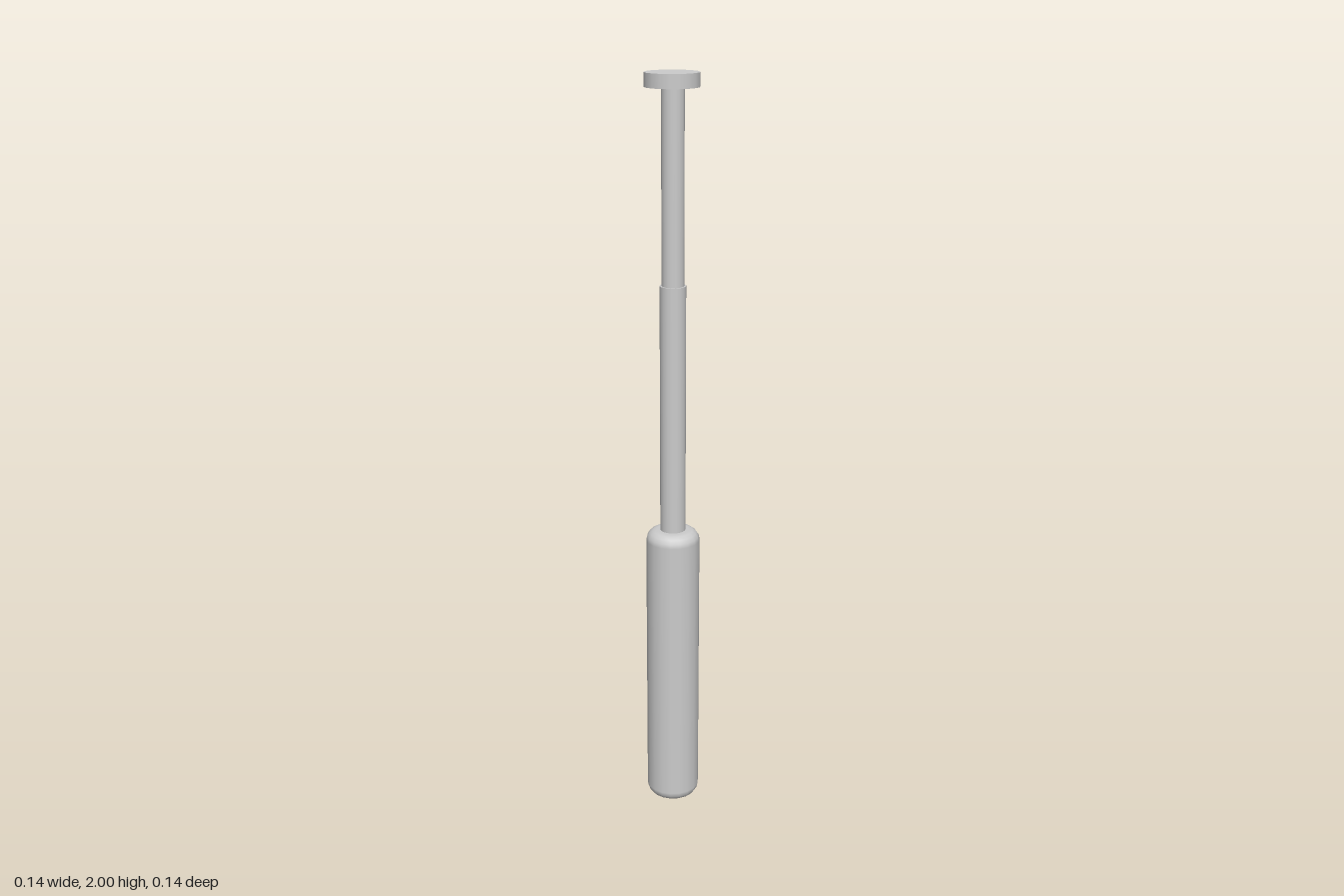
import * as THREE from 'three';

const SIDES = 18;

export function createModel() {
  const group = new THREE.Group();
  const material = new THREE.MeshStandardMaterial({ color: 0xcccccc });

  const add = (name, geometry, x = 0, y = 0) => {
    const mesh = new THREE.Mesh(geometry, material);
    mesh.name = name;
    mesh.position.set(x, y, 0);
    group.add(mesh);
  };

  // Upright cylinder between two heights, with a corner on the x axis
  const rod = (name, radius, bottom, top, x = 0) => {
    const geometry = new THREE.CylinderGeometry(radius, radius, top - bottom, SIDES, 1, false, Math.PI / 2);
    add(name, geometry, x, (bottom + top) / 2);
  };

  // Handle with rounded rims and flat ends
  const radius = 0.072, height = 0.81, fillet = 0.03, steps = 4;
  const profile = [new THREE.Vector2(0, 0)];
  for (const [centreY, start] of [[fillet, -Math.PI / 2], [height - fillet, 0]]) {
    for (let i = 0; i <= steps; i++) {
      const a = start + (i / steps) * Math.PI / 2;
      profile.push(new THREE.Vector2(radius - fillet + fillet * Math.cos(a), centreY + fillet * Math.sin(a)));
    }
  }
  profile.push(new THREE.Vector2(0, height));
  add('handle', new THREE.LatheGeometry(profile, SIDES, Math.PI / 2));

  // Telescoping shaft and end cap
  rod('lowerShaft', 0.034, 0.79, 1.475);
  rod('upperShaft', 0.029, 1.46, 1.975);
  rod('endCap', 0.069, 1.965, 2, -0.003);

  return group;
}
